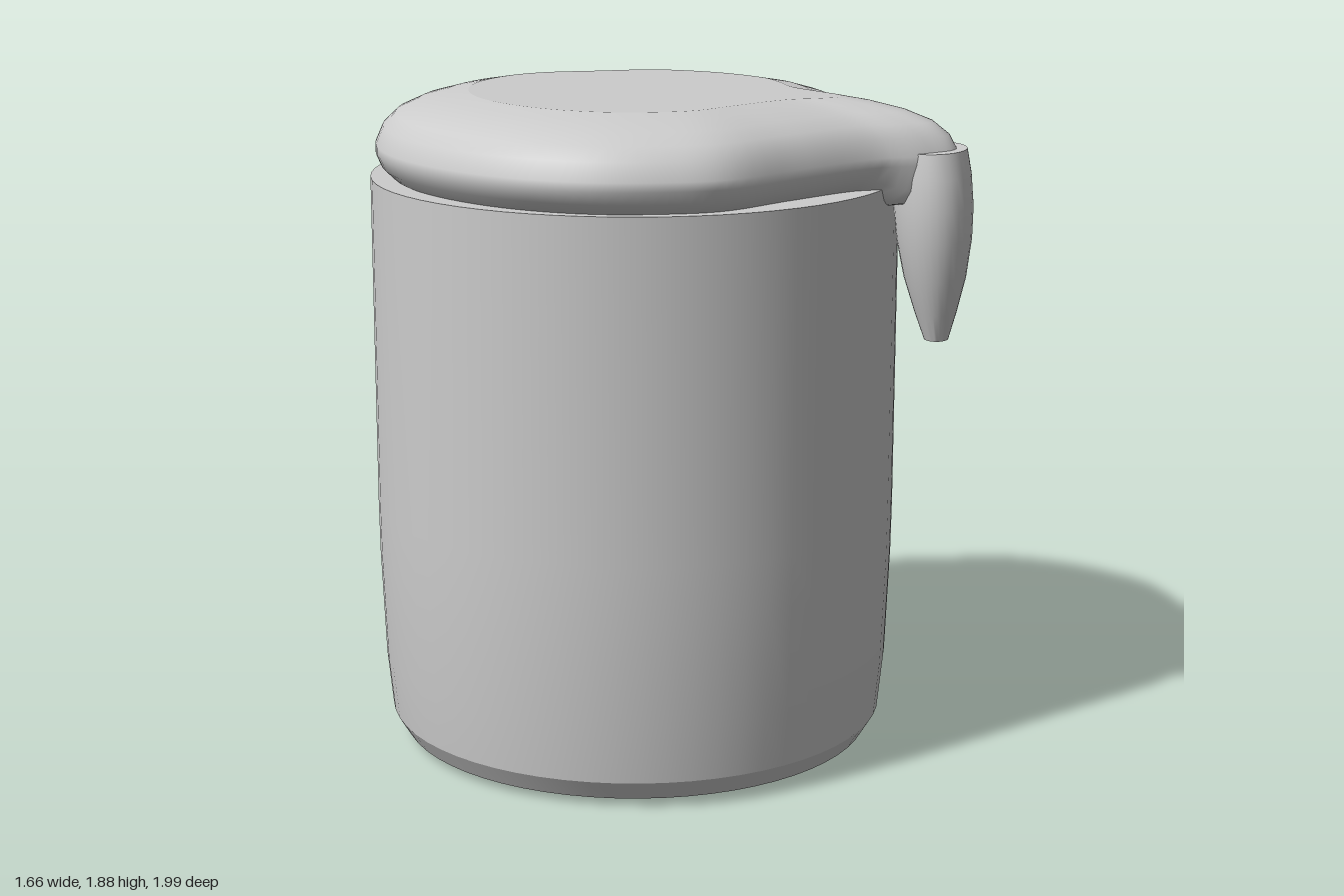
import * as THREE from 'three';
import { toCreasedNormals } from 'three/addons/utils/BufferGeometryUtils.js';

const CX = -0.08, CZ = 0.23; // mug axis

const vec2 = (list) => list.map(([x, y]) => new THREE.Vector2(x, y));

// Foam outline seen from above, as [x, z]
const OUTLINE = [
  [-0.08, 0.99], [0.08, 0.965], [0.3, 0.81], [0.535, 0.66], [0.68, 0.635], [0.765, 0.605],
  [0.78, 0.53], [0.71, 0.4], [0.62, 0.23], [0.59, 0.03], [0.55, -0.11], [0.38, -0.32],
  [0.16, -0.455], [0.03, -0.477], [-0.18, -0.456], [-0.42, -0.43], [-0.58, -0.345],
  [-0.74, -0.13], [-0.81, 0.13], [-0.79, 0.4], [-0.685, 0.64], [-0.5, 0.85], [-0.29, 0.965],
];

// Rounded edge of the foam, as [outline scale, height]
const EDGE = [
  [0.64, 1.885], [0.74, 1.872], [0.84, 1.852], [0.92, 1.825], [0.97, 1.79],
  [1, 1.74], [1, 1.715], [0.98, 1.68], [0.93, 1.645], [0.8, 1.63],
];

function loftFoam(rings, closeTop) {
  const n = 120;
  const curve = new THREE.CatmullRomCurve3(
    OUTLINE.map(([x, z]) => new THREE.Vector3(x - CX, 0, z - CZ)), true);
  const outline = curve.getPoints(n).slice(0, n);
  const pos = [], index = [];
  rings.forEach(([s, y]) => outline.forEach((p) => {
    // the underside sags where the foam spills over the rim
    const spill = THREE.MathUtils.smoothstep(p.x + CX, 0.5, 0.68);
    const sag = y < 1.7 ? 0.04 * spill : 0;
    pos.push(CX + p.x * s, y - sag, CZ + p.z * s);
  }));
  for (let r = 0; r < rings.length - 1; r++) {
    for (let i = 0; i < n; i++) {
      const j = (i + 1) % n, a = r * n + i, b = r * n + j;
      index.push(a, a + n, b, b, a + n, b + n);
    }
  }
  if (closeTop) {
    const c = pos.length / 3;
    pos.push(CX, rings[0][1], CZ);
    for (let i = 0; i < n; i++) index.push(c, i, (i + 1) % n);
  }
  const geo = new THREE.BufferGeometry();
  geo.setAttribute('position', new THREE.Float32BufferAttribute(pos, 3));
  geo.setIndex(index);
  geo.computeVertexNormals();
  return geo;
}

export function createModel() {
  const model = new THREE.Group();
  model.name = 'frothyMug';
  const grey = new THREE.MeshStandardMaterial({ color: 0xcccccc, side: THREE.DoubleSide });
  grey.name = 'light grey';
  const add = (name, geo) => {
    const mesh = new THREE.Mesh(geo, grey);
    mesh.name = name;
    model.add(mesh);
    return mesh;
  };

  // Mug body with a flat closed top
  const body = new THREE.LatheGeometry(vec2([
    [0, 0], [0.46, 0], [0.685, 0.022], [0.72, 0.08], [0.736, 0.24], [0.748, 0.55],
    [0.75, 0.7], [0.75, 1.65], [0, 1.65],
  ]), 64);
  add('mugBody', toCreasedNormals(body, 0.4)).position.set(CX, 0, CZ);

  // Foam: rounded edge plus flat top
  add('foamEdge', loftFoam(EDGE, false));
  add('foamTop', loftFoam([EDGE[0]], true));

  // Drip hanging from the spill, slightly flattened sideways
  const drip = new THREE.LatheGeometry(vec2([
    [0, -0.54], [0.043, -0.54], [0.075, -0.46], [0.11, -0.36], [0.133, -0.25],
    [0.14, -0.16], [0.135, -0.07], [0.122, 0], [0, 0],
  ]), 32);
  drip.scale(0.78, 1, 1);
  const dripMesh = add('drip', toCreasedNormals(drip, 0.7));
  dripMesh.position.set(0.71, 1.75, 0.545);
  dripMesh.rotation.z = 0.045;

  // Handle
  const path = new THREE.CatmullRomCurve3([
    [1.255, -0.46], [1.257, -0.6], [1.25, -0.73], [1.17, -0.85], [1.05, -0.907],
    [0.93, -0.922], [0.765, -0.875], [0.58, -0.76], [0.445, -0.61], [0.365, -0.48],
  ].map(([y, z]) => new THREE.Vector3(-0.062, y, z)));
  add('handle', new THREE.TubeGeometry(path, 48, 0.077, 20, false));

  return model;
}
